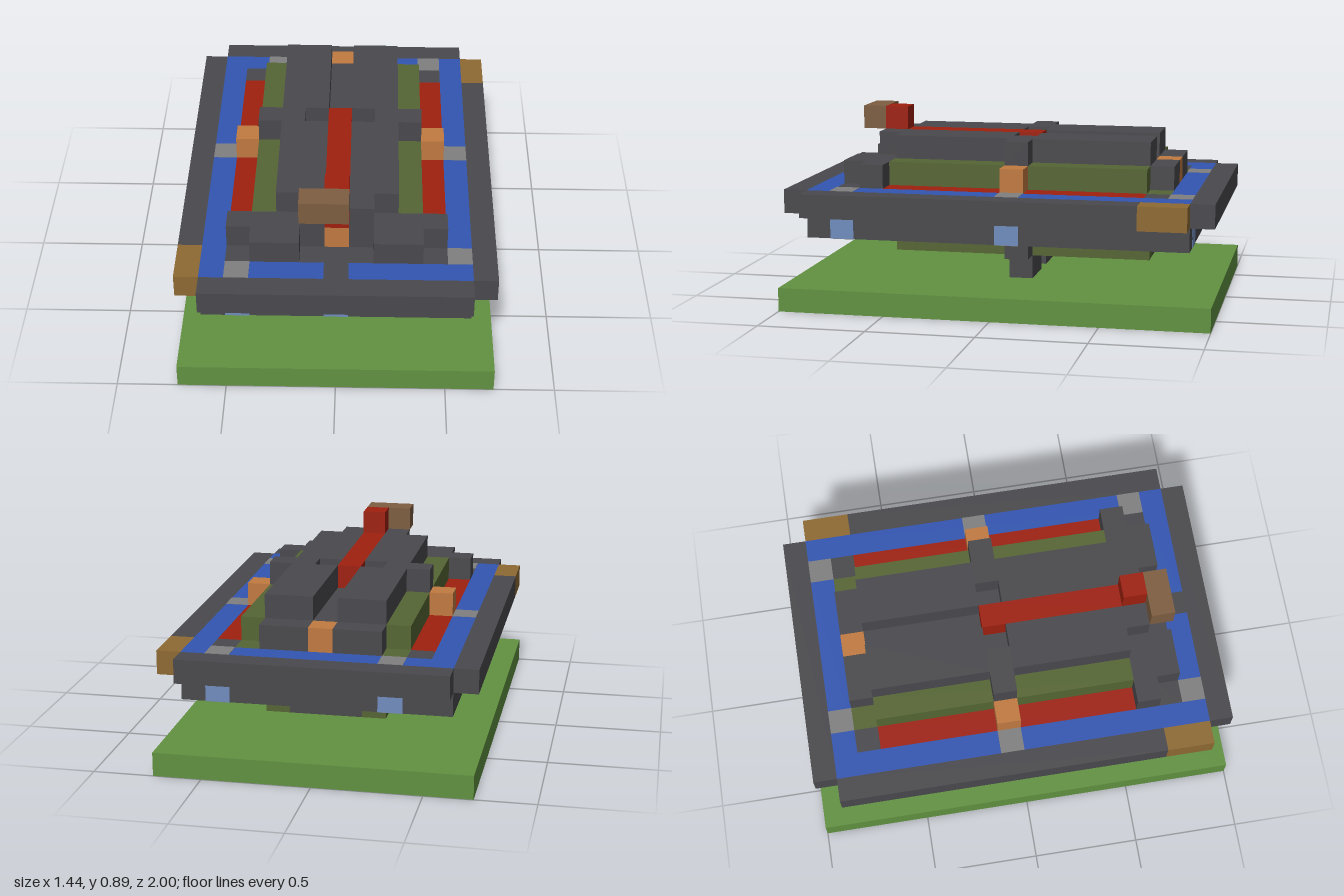
import * as THREE from 'three';

const U = 1 / 9; // edge of one block

function material(name, color) {
  const m = new THREE.MeshStandardMaterial({ color });
  m.name = name;
  return m;
}

export function createModel() {
  const dark = material('dark stone', 0x4a4a4e);
  const grass = material('grass green', 0x619241);
  const olive = material('olive', 0x566634);
  const blue = material('blue', 0x3356b2);
  const red = material('red', 0x9f200f);
  const orange = material('orange', 0xc27a41);
  const ochre = material('ochre wood', 0x8f6a33);
  const brown = material('brown wood', 0x7e5e41);
  const gray = material('gray', 0x808080);
  const glass = material('pale blue', 0x708dbf);

  const root = new THREE.Group();
  root.name = 'blockTurtle';

  // Box filling inclusive block ranges: x 0..12, y 0..7, z 0..17
  function block(name, mat, [x0, x1], [y0, y1], [z0, z1]) {
    const size = [x1 - x0 + 1, y1 - y0 + 1, z1 - z0 + 1].map((n) => n * U);
    const mesh = new THREE.Mesh(new THREE.BoxGeometry(...size), mat);
    mesh.name = name;
    mesh.position.set(((x0 + x1) / 2 - 6) * U, ((y0 + y1 + 1) / 2) * U, ((z0 + z1) / 2 - 8.5) * U);
    root.add(mesh);
  }
  // The same box on both sides of the middle column
  function pair(name, mat, [x0, x1], y, z) {
    block(name + 'Right', mat, [x0, x1], y, z);
    block(name + 'Left', mat, [12 - x1, 12 - x0], y, z);
  }

  // Ground and supports
  block('ground', grass, [0, 12], [0, 0], [0, 17]);
  pair('leg', dark, [4, 5], [1, 1], [8, 8]);

  // Underside of the hull
  block('keel', dark, [5, 7], [2, 2], [3, 13]);
  pair('keelSide', olive, [4, 4], [2, 2], [3, 13]);
  pair('keelRib', dark, [3, 3], [2, 2], [8, 8]);
  block('lowerHull', dark, [1, 11], [3, 3], [1, 16]);

  // Outer rim with open corners
  block('rimFront', dark, [1, 11], [4, 4], [17, 17]);
  block('rimBack', dark, [1, 11], [4, 4], [0, 0]);
  block('rimRight', dark, [0, 0], [4, 4], [1, 14]);
  block('rimLeft', dark, [12, 12], [4, 4], [3, 16]);
  block('rimPatchRight', ochre, [0, 0], [4, 4], [15, 16]);
  block('rimPatchLeft', ochre, [12, 12], [4, 4], [1, 2]);

  // Blue channel
  pair('channelSide', blue, [1, 1], [4, 4], [1, 16]);
  block('channelBack', blue, [2, 10], [4, 4], [1, 1]);
  pair('channelFront', blue, [2, 5], [4, 4], [16, 16]);
  block('channelBridge', dark, [6, 6], [4, 4], [16, 16]);

  // Deck
  block('deck', dark, [4, 8], [4, 4], [2, 15]);
  pair('deckFront', dark, [2, 3], [4, 4], [14, 15]);
  pair('deckBack', dark, [2, 2], [4, 4], [2, 2]);
  pair('redStrip', red, [2, 2], [4, 4], [3, 13]);
  pair('oliveBase', olive, [3, 3], [4, 4], [2, 13]);

  // Lower shell
  pair('oliveWall', olive, [3, 3], [5, 5], [3, 13]);
  block('shellCore', dark, [4, 8], [5, 5], [3, 13]);
  pair('shellBack', dark, [4, 5], [5, 5], [2, 2]);
  pair('shellFront', dark, [2, 5], [5, 5], [14, 14]);
  pair('frontStep', dark, [3, 4], [5, 5], [15, 15]);
  pair('sideLamp', orange, [2, 2], [5, 5], [8, 8]);
  for (const [name, z] of [['backLamp', 2], ['frontLamp', 14]]) {
    block(name, orange, [6, 6], [5, 5], [z, z]);
  }

  // Upper shell: two ridges with a recess beside the red spine
  pair('ridgeBack', dark, [4, 5], [6, 6], [3, 7]);
  pair('ridgeMiddle', dark, [3, 4], [6, 6], [8, 8]);
  pair('ridgeFront', dark, [4, 5], [6, 6], [9, 13]);
  pair('ridgeTip', dark, [5, 5], [6, 6], [14, 14]);
  block('spine', red, [6, 6], [6, 6], [8, 13]);
  block('post', red, [6, 6], [6, 7], [14, 14]);
  block('postArm', brown, [5, 6], [7, 7], [15, 15]);

  // Thin plates: pale windows on the hull wall, gray faces above and below
  const T = 0.004;
  function plate(name, mat, x, y, z, size) {
    const mesh = new THREE.Mesh(new THREE.BoxGeometry(...size), mat);
    mesh.name = name;
    mesh.position.set((x - 6) * U, y * U, (z - 8.5) * U);
    root.add(mesh);
  }
  for (const [x, z] of [[2, 16], [6, 16], [3, 1], [10, 1], [1, 8], [11, 8], [11, 15]]) {
    const onEnd = z === 1 || z === 16;
    const dx = onEnd ? 0 : Math.sign(x - 6) * 0.5;
    const dz = onEnd ? Math.sign(z - 8) * 0.5 : 0;
    plate('window', glass, x + dx, 3.5, z + dz, onEnd ? [U, U, T] : [T, U, U]);
    plate('windowBottom', gray, x, 3, z, [U, T, U]);
    if (x !== 6) plate('windowTop', gray, x, 5, z, [U, T, U]);
  }

  return root;
}
